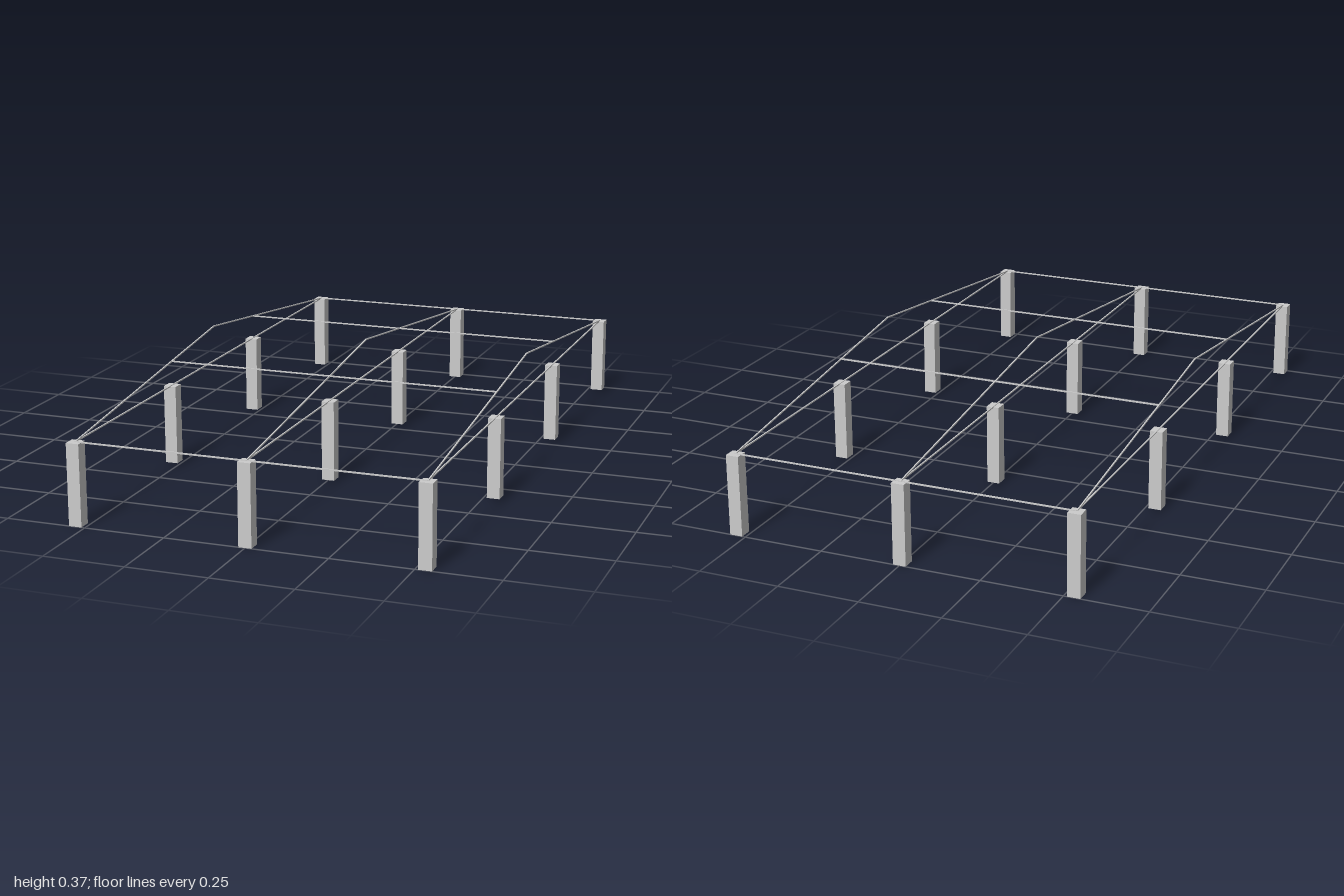
import * as THREE from 'three';

const COLUMN = 0.04, HEIGHT = 0.25, RIDGE = 0.366, BAR = 0.004;
const XS = [-0.53, 0, 0.53];
const END_Z = 0.98, INNER_Z = 0.327;

export function createModel() {
  const group = new THREE.Group();
  const material = new THREE.MeshStandardMaterial({ color: 0xcccccc, flatShading: true });

  // Slender square bar between two points
  function bar(name, from, to) {
    const a = new THREE.Vector3(...from), b = new THREE.Vector3(...to);
    const mesh = new THREE.Mesh(new THREE.BoxGeometry(BAR, BAR, a.distanceTo(b)), material);
    mesh.name = name;
    mesh.position.copy(a).add(b).multiplyScalar(0.5);
    mesh.lookAt(b);
    group.add(mesh);
  }

  for (const x of XS) {
    // Row of four columns
    for (const z of [-END_Z, -INNER_Z, INNER_Z, END_Z]) {
      const column = new THREE.Mesh(new THREE.BoxGeometry(COLUMN, HEIGHT, COLUMN), material);
      column.name = 'column';
      column.position.set(x, HEIGHT / 2, z);
      group.add(column);
    }
    // Tie beam and the two rafters of each roof frame
    bar('tieBeam', [x, HEIGHT, -END_Z], [x, HEIGHT, END_Z]);
    for (const s of [-1, 1]) bar('rafter', [x, HEIGHT, s * END_Z], [x, RIDGE, 0]);
  }

  // Eave beams on the end columns and purlins part way up the slopes
  const purlinY = HEIGHT + (RIDGE - HEIGHT) * (1 - INNER_Z / END_Z);
  for (const s of [-1, 1]) {
    bar('eaveBeam', [XS[0], HEIGHT, s * END_Z], [XS[2], HEIGHT, s * END_Z]);
    bar('purlin', [XS[0], purlinY, s * INNER_Z], [XS[2], purlinY, s * INNER_Z]);
  }
  return group;
}
